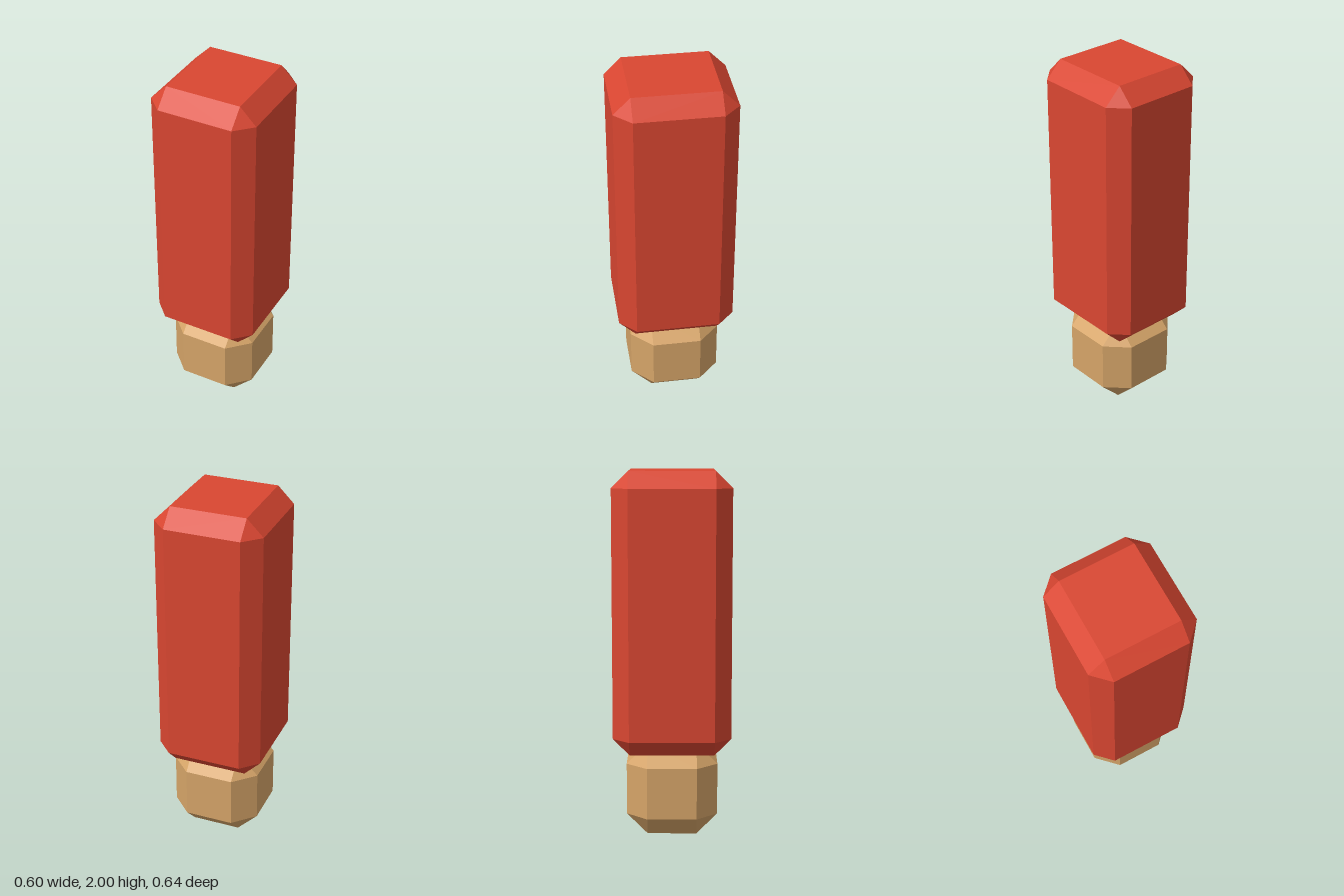
import * as THREE from 'three';
import { ConvexGeometry } from 'three/addons/geometries/ConvexGeometry.js';

// Box with every edge cut at 45 degrees and small triangles at the corners
function chamferedBox(halfX, halfY, halfZ, cut) {
  const points = [];
  for (const sx of [-1, 1]) for (const sy of [-1, 1]) for (const sz of [-1, 1]) {
    for (let axis = 0; axis < 3; axis++) {
      const p = [halfX, halfY, halfZ].map((h, i) => (i === axis ? h : h - cut));
      points.push(new THREE.Vector3(sx * p[0], sy * p[1], sz * p[2]));
    }
  }
  return new ConvexGeometry(points);
}

export function createModel() {
  const model = new THREE.Group();
  model.name = 'arm';

  const red = new THREE.MeshStandardMaterial({ color: 0xd94631 });
  red.name = 'sleeveRed';
  const tan = new THREE.MeshStandardMaterial({ color: 0xd5a468 });
  tan.name = 'skinTan';

  // Long sleeve
  const sleeve = new THREE.Mesh(chamferedBox(0.299, 0.7675, 0.322, 0.091), red);
  sleeve.name = 'sleeve';
  sleeve.position.y = 1.2325;
  model.add(sleeve);

  // Blocky hand, its top tucked into the sleeve
  const hand = new THREE.Mesh(chamferedBox(0.25, 0.257, 0.25, 0.115), tan);
  hand.name = 'hand';
  hand.position.y = 0.257;
  model.add(hand);

  return model;
}
